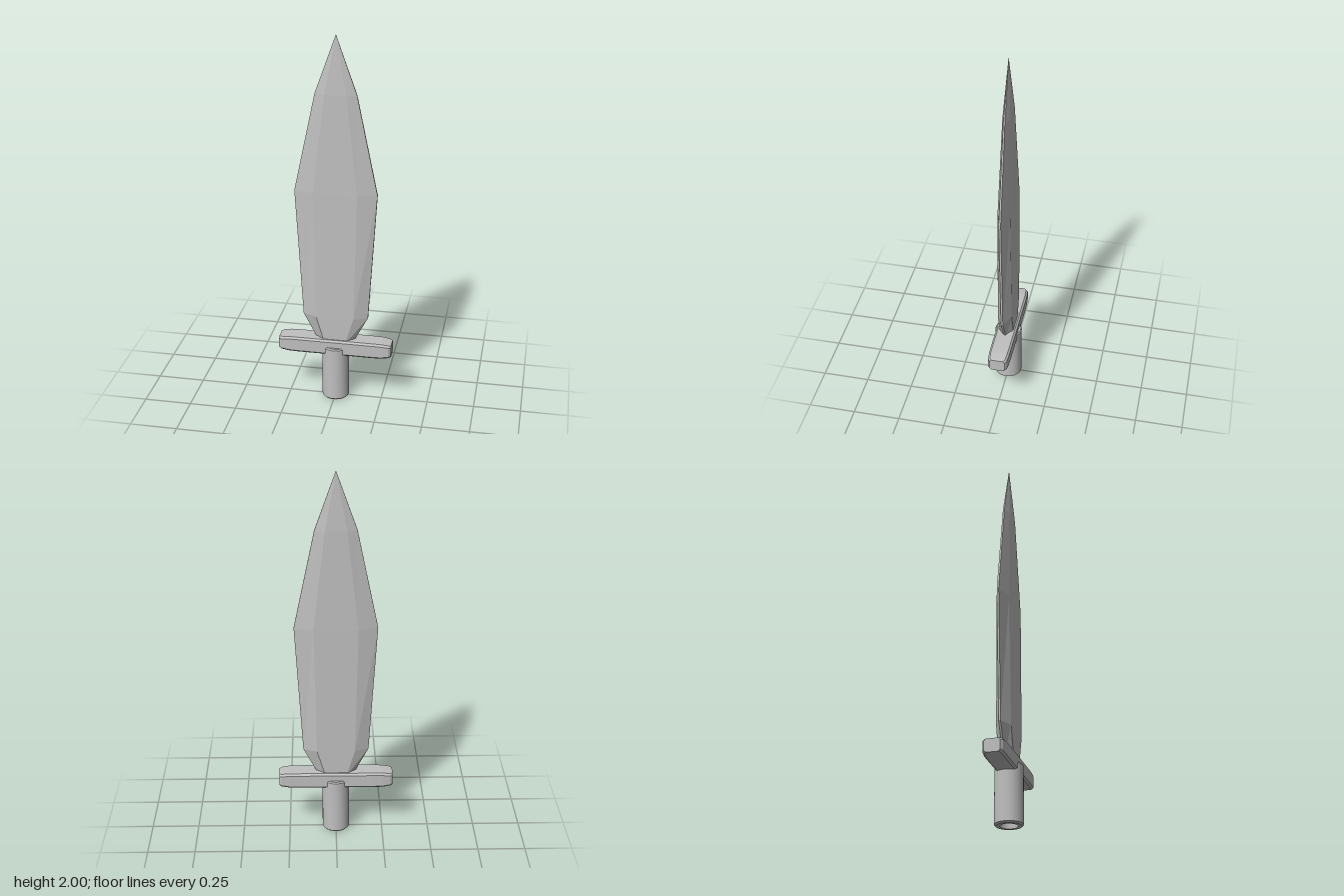
import * as THREE from 'three';
import { toCreasedNormals } from 'three/addons/utils/BufferGeometryUtils.js';

// Skin a list of equal-length rings, capped at both ends, with hard facets
function loft(rings) {
  const n = rings[0].length, index = [];
  for (let r = 0; r < rings.length - 1; r++) {
    for (let i = 0; i < n; i++) {
      const a = r * n + i, b = r * n + (i + 1) % n;
      index.push(a, b, b + n, a, b + n, a + n);
    }
  }
  const last = (rings.length - 1) * n;
  for (let i = 1; i < n - 1; i++) {
    index.push(0, i + 1, i, last, last + i, last + i + 1);
  }
  const geo = new THREE.BufferGeometry();
  geo.setAttribute('position', new THREE.Float32BufferAttribute(rings.flat(2), 3));
  geo.setIndex(index);
  const flat = geo.toNonIndexed();
  flat.computeVertexNormals();
  return flat;
}

// Blade cross-section: thin edges at +-w, flat faces between +-f at depth d
function bladeRing([y, w, f, d, e]) {
  return [[w, e], [w, -e], [f, -d], [-f, -d], [-w, -e], [-w, e], [-f, d], [f, d]]
    .map(([x, z]) => [x, y, z]);
}

// Guard cross-section: chamfered rectangle
function guardRing([x, hy, hz]) {
  const c = 0.01, y0 = 0.308;
  return [[hy, -hz + c], [hy, hz - c], [hy - c, hz], [-hy + c, hz],
    [-hy, hz - c], [-hy, -hz + c], [-hy + c, -hz], [hy - c, -hz]]
    .map(([y, z]) => [x, y0 + y, z]);
}

export function createModel() {
  const group = new THREE.Group();
  const steel = new THREE.MeshStandardMaterial({ color: 0xc0c0c0 });
  steel.name = 'steelGrey';
  const add = (name, geo) => {
    const mesh = new THREE.Mesh(geo, steel);
    mesh.name = name;
    group.add(mesh);
  };

  // Leaf-shaped blade: height, half width, flat half width, half depth, half edge
  add('blade', loft([
    [0.33, 0.095, 0.055, 0.038, 0.005],
    [0.48, 0.173, 0.1, 0.038, 0.005],
    [1.18, 0.215, 0.115, 0.032, 0.005],
    [1.7, 0.107, 0.055, 0.019, 0.004],
    [2.0, 0.001, 0.0005, 0.0005, 0.0003],
  ].map(bladeRing)));

  // Crossguard with tapered, rounded ends
  const half = [[0.2, 0.043, 0.055], [0.25, 0.042, 0.054], [0.29, 0.037, 0.05], [0.303, 0.034, 0.04]];
  const stations = [...half.map(([x, y, z]) => [-x, y, z]).reverse(), ...half];
  add('crossguard', loft(stations.map(guardRing)));

  // Round handle with a bored end
  const profile = [[0, 0.2], [0.045, 0.2], [0.045, 0], [0.064, 0], [0.072, 0.008],
    [0.072, 0.302], [0.067, 0.309], [0, 0.309]].map(([x, y]) => new THREE.Vector2(x, y));
  add('handle', toCreasedNormals(new THREE.LatheGeometry(profile, 32), 0.6));

  return group;
}
